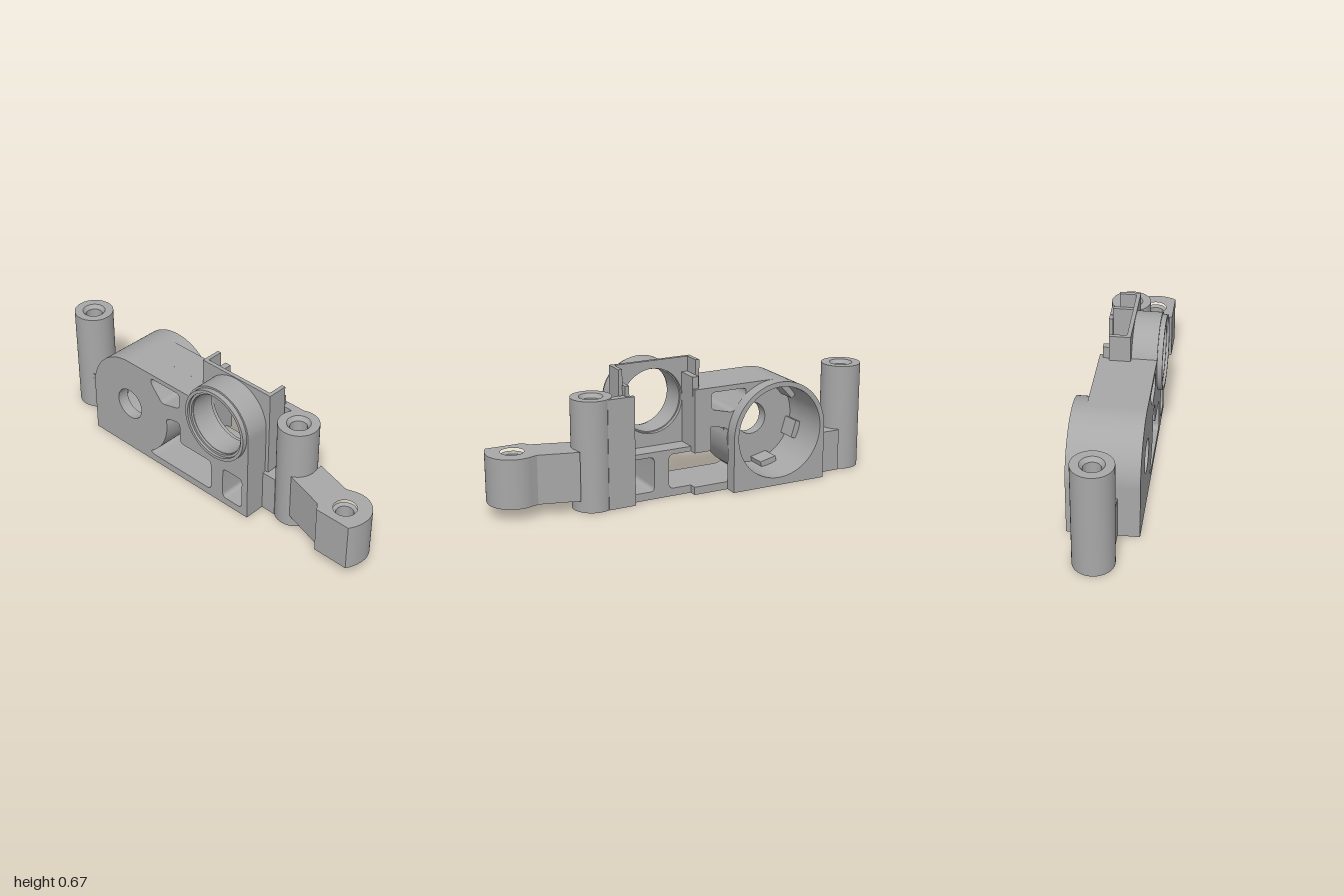
import * as THREE from 'three';
import { toCreasedNormals } from 'three/addons/utils/BufferGeometryUtils.js';

const PI = Math.PI;
const cup = { x: -0.445, y: 0.275, r: 0.26 };   // left housing axis
const eye = { x: 0.163, y: 0.467, r: 0.198 };   // raised ring axis

// Polygon with softened corners
function rounded(pts, r, Type = THREE.Path) {
  const path = new Type(), n = pts.length;
  const v = pts.map(p => new THREE.Vector2(...p));
  v.forEach((p, i) => {
    const a = v[(i + n - 1) % n], b = v[(i + 1) % n];
    const ra = Math.min(r, p.distanceTo(a) * 0.45), rb = Math.min(r, p.distanceTo(b) * 0.45);
    const s = p.clone().add(a.clone().sub(p).setLength(ra));
    const e = p.clone().add(b.clone().sub(p).setLength(rb));
    if (i) path.lineTo(s.x, s.y); else path.moveTo(s.x, s.y);
    path.quadraticCurveTo(p.x, p.y, e.x, e.y);
  });
  path.closePath();
  return path;
}
const circle = (c, r) => new THREE.Path().absarc(c.x, c.y, r, 0, 2 * PI, true);
const rect = (x0, y0, x1, y1) => new THREE.Shape([[x0, y0], [x1, y0], [x1, y1], [x0, y1]].map(p => new THREE.Vector2(...p)));

export function createModel() {
  const group = new THREE.Group();
  const grey = new THREE.MeshStandardMaterial({ color: 0xa8a8a8 });
  grey.name = 'grey plastic';

  const add = (name, geo, parent = group) => {
    const m = new THREE.Mesh(geo, grey);
    m.name = name;
    parent.add(m);
    return m;
  };
  // Extrude an xy outline between two z depths
  const slab = (name, shape, z0, z1, holes = []) => {
    shape.holes.push(...holes);
    const g = new THREE.ExtrudeGeometry(shape, { depth: z1 - z0, bevelEnabled: false, curveSegments: 40 });
    g.translate(0, 0, z0);
    return add(name, toCreasedNormals(g, 0.5));
  };
  const box = (name, x0, x1, y0, y1, z0, z1) => {
    const g = new THREE.BoxGeometry(x1 - x0, y1 - y0, z1 - z0);
    g.translate((x0 + x1) / 2, (y0 + y1) / 2, (z0 + z1) / 2);
    return add(name, g);
  };

  // Openings through the body
  const arc = [];
  for (let i = 0; i <= 14; i++) {
    const a = -1.0 + i / 14;
    arc.push([cup.x + 0.265 * Math.cos(a), cup.y + 0.265 * Math.sin(a)]);
  }
  const cutTop = [...arc, [-0.185, 0.31], [-0.16, 0.325], [-0.09, 0.337], [-0.09, 0.215]];
  const bigCut = () => rounded([...cutTop, [0.12, 0.215], [0.12, 0.04], [-0.28, 0.04]], 0.025);
  const triCut = () => rounded([[-0.285, 0.51], [-0.285, 0.48], [-0.21, 0.395], [-0.09, 0.425], [-0.09, 0.51]], 0.022);
  const smallCut = () => rounded([[0.2, 0.04], [0.325, 0.04], [0.325, 0.215], [0.2, 0.215]], 0.025);

  // Shared end of each outline: flat top running into the housing arch
  const archEnd = s => {
    s.lineTo(cup.x, 0.535);
    s.absarc(cup.x, cup.y, cup.r, PI / 2, PI, false);
    s.closePath();
    return s;
  };
  const fullOutline = () => {
    const s = new THREE.Shape();
    s.moveTo(-0.705, 0);
    s.lineTo(0.361, 0);
    s.lineTo(0.361, eye.y);
    s.absarc(eye.x, eye.y, eye.r, 0, PI - 0.35, false);
    return archEnd(s);
  };
  const polyOutline = pts => {
    const s = new THREE.Shape();
    s.moveTo(-0.705, 0);
    pts.forEach(p => s.lineTo(...p));
    return archEnd(s);
  };

  // Body, layered from front to back
  slab('frontFace', fullOutline(), 0.1, 0.16,
    [circle(cup, 0.083), circle(eye, 0.157), bigCut(), triCut(), smallCut()]);
  slab('frontBody', fullOutline(), 0.035, 0.1,
    [circle(cup, 0.235), circle(eye, 0.157), bigCut(), triCut(), smallCut()]);
  slab('middleBody', polyOutline([[0.361, 0], [0.361, 0.24], [0, 0.24], [0, 0.535]]), -0.08, 0.035,
    [circle(cup, 0.235), bigCut(), triCut(), smallCut()]);
  slab('rearBody', polyOutline([[0, 0], [0, 0.04], [-0.28, 0.04], ...cutTop, [0, 0.215], [0, 0.535]]), -0.12, -0.08,
    [circle(cup, 0.235), triCut()]);
  const rim = new THREE.Shape();
  rim.moveTo(-0.705, 0);
  rim.lineTo(-0.185, 0);
  rim.lineTo(-0.185, cup.y);
  rim.absarc(cup.x, cup.y, cup.r, 0, PI, false);
  rim.closePath();
  slab('housingRim', rim, -0.185, -0.12, [circle(cup, 0.235)]);

  // Locating pads inside the housing
  for (let i = 0; i < 6; i++) {
    const a = i * PI / 3 + 0.3;
    const pad = add('housingPad', new THREE.BoxGeometry(0.035, 0.09, 0.1));
    pad.position.set(cup.x + 0.222 * Math.cos(a), cup.y + 0.222 * Math.sin(a), 0.05);
    pad.rotation.z = a;
  }

  // Ring lip with a stepped mouth
  const ring = (name, ro, ri, z0, z1) =>
    slab(name, new THREE.Shape().absarc(eye.x, eye.y, ro, 0, 2 * PI, false), z0, z1, [circle(eye, ri)]);
  ring('ringLip', 0.188, 0.172, 0.16, 0.185);
  ring('ringStep', 0.18, 0.16, 0.158, 0.172);

  // Upright wall behind the ring, with its side fins
  slab('rearWall', rect(-0.05, 0.22, 0.38, 0.67), 0.015, 0.035, [circle(eye, 0.163)]);
  box('wallFin', -0.05, -0.03, 0.45, 0.67, -0.07, 0.016);
  box('wallFin', 0.36, 0.38, 0.22, 0.67, -0.07, 0.016);
  box('clipFin', -0.03, 0.003, 0.5, 0.595, -0.102, 0.016);
  box('clipFin', 0.34, 0.361, 0, 0.595, -0.102, 0.016);
  box('clipFoot', 0.32, 0.361, 0, 0.545, -0.12, -0.1);

  // Screw posts: hollow, with a countersunk mouth at both ends
  const post = (name, x, z, r, y0, y1) => {
    const p = [[r, y0], [r, y1], [0.058, y1], [0.042, y1 - 0.02], [0.042, y0 + 0.02], [0.058, y0], [r, y0]];
    const g = new THREE.LatheGeometry(p.map(q => new THREE.Vector2(...q)), 48);
    add(name, toCreasedNormals(g, 0.5)).position.set(x, 0, z);
  };
  post('leftPost', -0.9, -0.028, 0.1, 0, 0.548);
  post('rightPost', 0.505, -0.028, 0.1, 0, 0.548);

  // Webs joining the posts to the body
  box('leftWeb', -0.84, -0.7, 0, 0.215, -0.12, 0.055);
  box('rightWeb', 0.355, 0.44, 0, 0.215, -0.1, 0.05);
  box('rightTallWeb', 0.36, 0.46, 0, 0.546, -0.12, -0.08);

  // Side arm with its own screw hole, drawn in plan and stood upright
  const arm = new THREE.Shape();
  arm.moveTo(0.545, 0.062);
  arm.lineTo(0.76, 0.125);
  arm.lineTo(0.785, 0.16);
  arm.lineTo(0.97, 0.16);
  arm.quadraticCurveTo(0.997, 0.12, 0.999, 0.062);
  arm.absarc(0.872, 0.062, 0.127, 0, -1.95, true);
  arm.lineTo(0.79, -0.045);
  arm.lineTo(0.595, -0.097);
  arm.quadraticCurveTo(0.615, -0.02, 0.545, 0.062);
  arm.holes.push(circle({ x: 0.872, y: 0.062 }, 0.056));
  const armGeo = new THREE.ExtrudeGeometry(arm, { depth: 0.243, bevelEnabled: false, curveSegments: 32 });
  armGeo.rotateX(PI / 2);
  armGeo.translate(0, 0.305, 0);
  add('sideArm', toCreasedNormals(armGeo, 0.4));
  const collar = [[0.058, 0.07], [0.058, 0.29], [0.042, 0.28], [0.042, 0.085], [0.058, 0.07]];
  add('sideArmCollar', toCreasedNormals(
    new THREE.LatheGeometry(collar.map(q => new THREE.Vector2(...q)), 40), 0.5)).position.set(0.872, 0, 0.062);

  return group;
}
